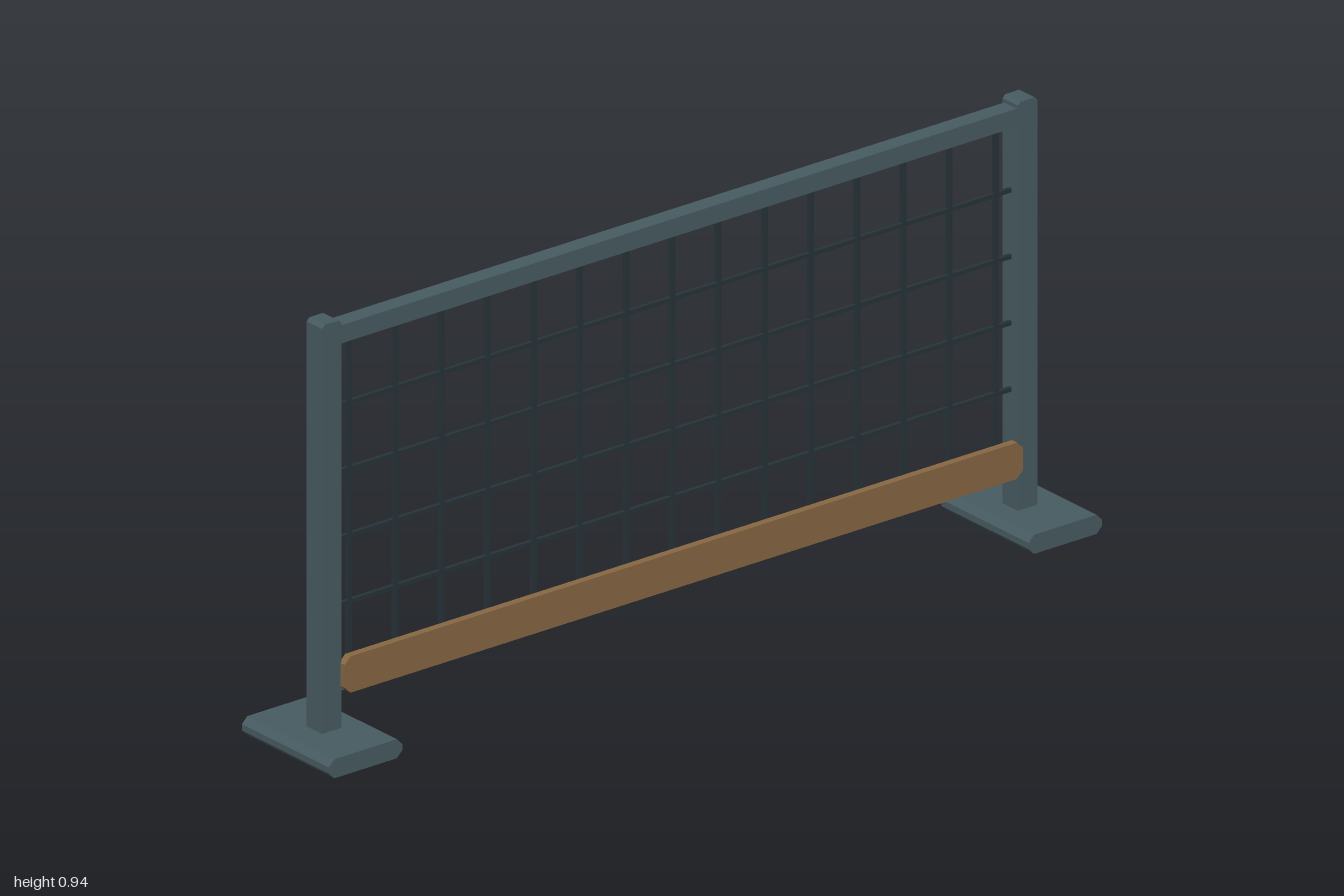
import * as THREE from 'three';

export function createModel() {
  const group = new THREE.Group();
  const material = (name, color) => {
    const m = new THREE.MeshStandardMaterial({ color });
    m.name = name;
    return m;
  };
  const steel = material('slate steel', 0x475b61);
  const wire = material('dark wire', 0x273338);
  const wood = material('brown wood', 0x876743);

  function add(name, geometry, mat, x, y, z) {
    const mesh = new THREE.Mesh(geometry, mat);
    mesh.name = name;
    mesh.position.set(x, y, z);
    group.add(mesh);
    return mesh;
  }

  // Slab with cut corners in its front outline, centred on the origin
  function cutSlab(w, h, d, c) {
    const a = w / 2, b = h / 2;
    const outline = new THREE.Shape([
      [-a + c, -b], [a - c, -b], [a, -b + c], [a, b - c],
      [a - c, b], [-a + c, b], [-a, b - c], [-a, -b + c],
    ].map(([x, y]) => new THREE.Vector2(x, y)));
    const g = new THREE.ExtrudeGeometry(outline, { depth: d, bevelEnabled: false });
    return g.translate(0, 0, -d / 2);
  }

  // Posts and feet
  for (const [side, s] of [['left', 1], ['right', -1]]) {
    add(side + 'Foot', cutSlab(0.19, 0.042, 0.28, 0.014), steel, s * 0.905, 0.021, 0);
    add(side + 'Post', cutSlab(0.05, 0.91, 0.05, 0.007), steel, s * 0.9, 0.485, 0);
  }

  // Top and bottom rails
  add('topRail', new THREE.BoxGeometry(1.77, 0.04, 0.04), steel, 0, 0.905, 0);
  add('bottomRail', new THREE.BoxGeometry(1.77, 0.04, 0.04), steel, 0, 0.141, 0);

  // Wooden kick board on the front
  add('kickBoard', cutSlab(1.754, 0.08, 0.017, 0.015), wood, 0, 0.16, 0.0295);

  // Wire mesh infill
  for (let i = 0; i < 15; i++) {
    add('verticalWire', new THREE.BoxGeometry(0.01, 0.74, 0.01), wire, (i - 7) * 0.1195, 0.523, 0);
  }
  for (let i = 0; i < 4; i++) {
    add('horizontalWire', new THREE.BoxGeometry(1.77, 0.009, 0.009), wire, 0, 0.302 + i * 0.146, 0);
  }
  return group;
}
